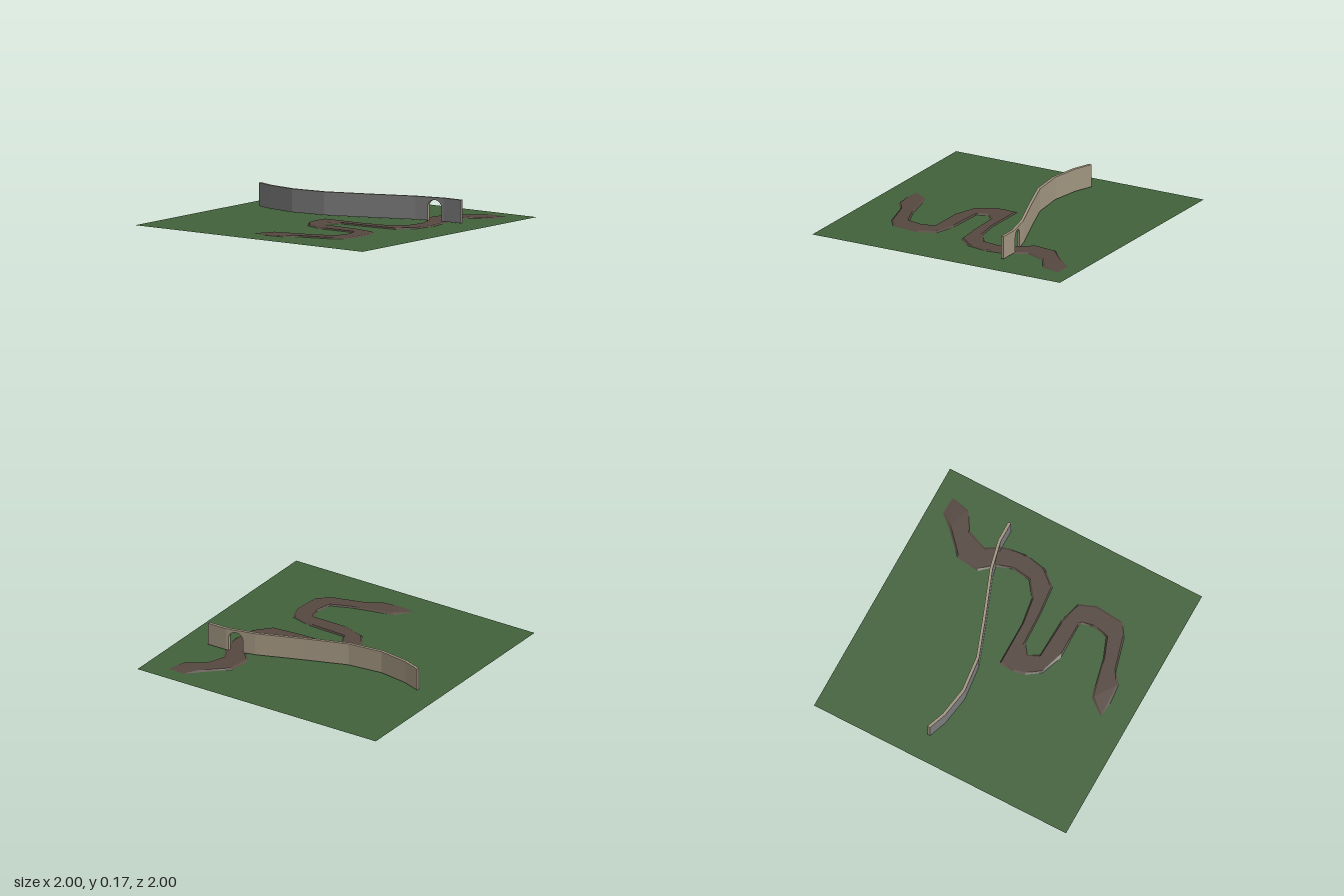
import * as THREE from 'three';

const material = (name, color, side = THREE.FrontSide) => {
  const m = new THREE.MeshStandardMaterial({ color, side });
  m.name = name;
  return m;
};

// Low ribbon with sloping banks, lofted through [left x, left z, right x, right z] stations
function ribbonGeometry(stations, height, bank) {
  const rings = stations.map(([lx, lz, rx, rz], i) => {
    const end = i === 0 || i === stations.length - 1;
    const top = end ? 0.003 : height;
    return [[0, 0], [bank, top], [1 - bank, top], [1, 0]].map(([t, y]) =>
      [lx + (rx - lx) * t, y, lz + (rz - lz) * t]);
  });
  const pos = [];
  for (let i = 0; i < rings.length - 1; i++) {
    const a = rings[i], b = rings[i + 1];
    for (let j = 0; j < 4; j++) {
      const k = (j + 1) % 4;
      pos.push(...a[j], ...a[k], ...b[k], ...a[j], ...b[k], ...b[j]);
    }
  }
  const g = new THREE.BufferGeometry();
  g.setAttribute('position', new THREE.Float32BufferAttribute(pos, 3));
  g.computeVertexNormals();
  return g;
}

// One straight length of wall, sheared to run from (x0, z0) to (x1, z1)
function wallSection([x0, z0], [x1, z1], arch) {
  const base = 0.01, top = 0.175, thick = 0.022;
  const s = new THREE.Shape();
  s.moveTo(x0, base);
  if (arch) {
    const { x, r, spring } = arch;
    s.lineTo(x - r, base);
    s.lineTo(x - r, spring);
    s.absarc(x, spring, r, Math.PI, 0, true);
    s.lineTo(x + r, base);
  }
  s.lineTo(x1, base);
  s.lineTo(x1, top);
  s.lineTo(x0, top);
  s.closePath();
  const g = new THREE.ExtrudeGeometry(s, { depth: thick, bevelEnabled: false, curveSegments: 12 });
  const p = g.attributes.position;
  for (let i = 0; i < p.count; i++) {
    const t = (p.getX(i) - x0) / (x1 - x0);
    p.setZ(i, p.getZ(i) - thick / 2 + z0 + (z1 - z0) * t);
  }
  g.computeVertexNormals();
  // back face and edges are stone, front face is grey
  const caps = g.groups[0].count, half = caps / 2;
  g.clearGroups();
  g.addGroup(0, half, 0);
  g.addGroup(half, half, 1);
  g.addGroup(caps, p.count - caps, 0);
  return g;
}

export function createModel() {
  const model = new THREE.Group();
  model.name = 'walledField';
  const grass = material('grass green', 0x42613b, THREE.DoubleSide);
  const earth = material('earth brown', 0x554840);
  const stone = material('pale stone', 0xa0947f);
  const grey = material('wall grey', 0x7a7a7a);

  // Field
  const field = new THREE.Mesh(new THREE.PlaneGeometry(2, 2).rotateX(-Math.PI / 2), grass);
  field.position.y = 0.001;
  field.name = 'field';
  model.add(field);

  // Winding path, from the near end to the far end
  const path = new THREE.Mesh(ribbonGeometry([
    [-0.12, 0.80, 0.0, 0.815], [-0.03, 0.68, 0.15, 0.80], [0.27, 0.61, 0.23, 0.735],
    [0.42, 0.55, 0.47, 0.67], [0.44, 0.43, 0.57, 0.60], [0.415, 0.35, 0.59, 0.39],
    [0.40, 0.345, 0.54, 0.265], [0.13, 0.35, 0.38, 0.22], [-0.03, 0.29, 0.08, 0.21],
    [-0.10, 0.19, 0.045, 0.14], [-0.12, 0.10, 0.045, 0.13], [-0.115, -0.01, 0.11, 0.08],
    [0.22, -0.01, 0.36, 0.07], [0.42, -0.04, 0.57, 0.05], [0.53, -0.12, 0.66, -0.06],
    [0.55, -0.26, 0.69, -0.22], [0.51, -0.37, 0.67, -0.38], [0.42, -0.47, 0.60, -0.51],
    [0.44, -0.64, 0.66, -0.66], [0.61, -0.80, 0.79, -0.74], [0.68, -0.885, 0.82, -0.88],
  ], 0.01, 0.1), earth);
  path.name = 'windingPath';
  model.add(path);

  // Curving wall with an archway over the path
  const wall = new THREE.Group();
  wall.name = 'wall';
  const line = [[-0.815, -0.19], [-0.68, -0.14], [-0.46, -0.105], [-0.2, -0.133],
    [0.1, -0.24], [0.43, -0.365], [0.64, -0.413], [0.79, -0.413]];
  for (let i = 0; i < line.length - 1; i++) {
    const arch = i === 5 ? { x: 0.57, r: 0.052, spring: 0.105 } : null;
    const section = new THREE.Mesh(wallSection(line[i], line[i + 1], arch), [stone, grey]);
    section.name = arch ? 'archwaySection' : 'wallSection';
    wall.add(section);
  }
  model.add(wall);
  return model;
}
